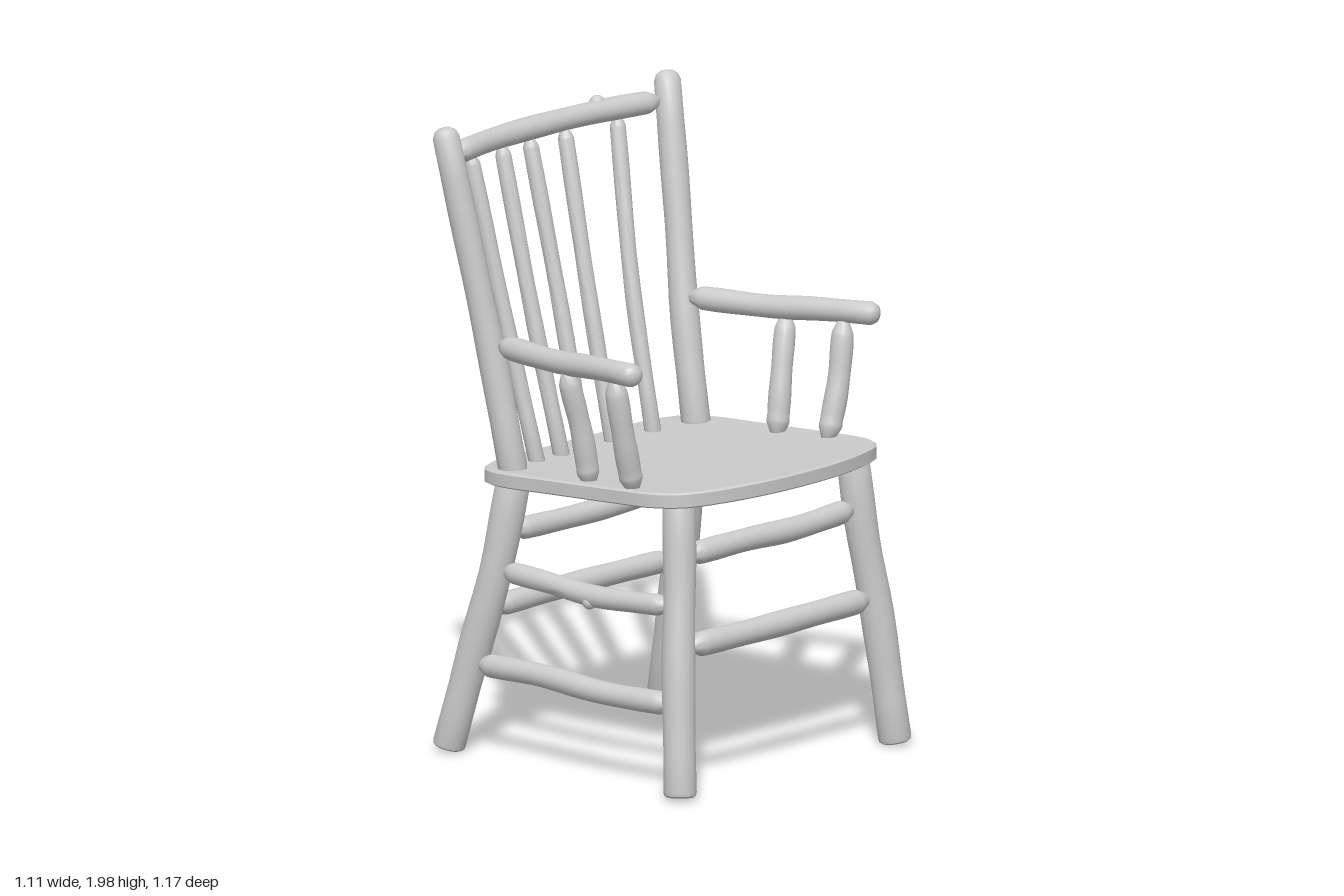
import * as THREE from 'three';
import { toCreasedNormals } from 'three/addons/utils/BufferGeometryUtils.js';

const material = new THREE.MeshStandardMaterial({ color: 0xcccccc });
const V = (p) => new THREE.Vector3(...p);

// End shapes as [radius factor, distance from the end in radii]
const ENDS = {
  sawn: [[0, 0], [0.8, 0], [0.95, 0.1], [1, 0.3]],
  round: [[0, 0], [0.45, 0.06], [0.8, 0.3], [1, 0.75]],
  point: [[0, 0], [0.5, 0], [0.6, 0.15], [0.97, 1.0], [1, 1.3]],
};

// A peeled log: a turned profile bent along a curve through the points
function log(name, points, r0, r1 = r0, startEnd = 'sawn', finishEnd = 'sawn') {
  const curve = new THREE.CatmullRomCurve3(points.map(V));
  const length = curve.getLength();
  const radius = (s) => r0 + (r1 - r0) * s;
  const profile = [];
  for (const [f, d] of ENDS[startEnd]) profile.push(new THREE.Vector2(f * r0, (d * r0) / length));
  for (let i = 1; i < 12; i++) {
    const s = 0.08 + (0.84 * i) / 12;
    profile.push(new THREE.Vector2(radius(s) * (1 + 0.03 * Math.sin(s * 14 + length * 9)), s));
  }
  for (const [f, d] of [...ENDS[finishEnd]].reverse()) profile.push(new THREE.Vector2(f * r1, 1 - (d * r1) / length));
  profile.sort((a, b) => a.y - b.y);

  const geometry = new THREE.LatheGeometry(profile, 18);
  const position = geometry.attributes.position;
  const chord = curve.getPoint(1).sub(curve.getPoint(0)).normalize();
  const turn = new THREE.Quaternion().setFromUnitVectors(V([0, 1, 0]), chord);
  const v = new THREE.Vector3();
  for (let i = 0; i < position.count; i++) {
    const s = THREE.MathUtils.clamp(position.getY(i), 0, 1);
    v.set(position.getX(i), 0, position.getZ(i)).applyQuaternion(turn).add(curve.getPointAt(s));
    position.setXYZ(i, v.x, v.y, v.z);
  }
  const mesh = new THREE.Mesh(toCreasedNormals(geometry, 0.7), material);
  mesh.name = name;
  return mesh;
}

// A small cut-off branch
function knot(name, at, r) {
  const mesh = new THREE.Mesh(new THREE.SphereGeometry(r, 12, 8), material);
  mesh.name = name;
  mesh.position.set(...at);
  return mesh;
}

// Seat plank: rings between the centre and a rounded outline, tilted up to the front
function seat() {
  const half = [[0.22, 0.5], [0.37, 0.493], [0.46, 0.445], [0.52, 0.3], [0.548, 0.13]];
  const back = [[-0.408, 0.14], [-0.405, 0.36], [-0.36, 0.46], [-0.28, 0.495], [-0.05, 0.5]];
  const flip = (list) => list.map(([x, z]) => [x, -z]).reverse();
  const ring = [...half, [0.553, 0], ...flip(half), ...flip(back), ...back];
  const outline = new THREE.CatmullRomCurve3(ring.map(([x, z]) => V([x, 0, z])), true);
  const profile = [[0, -0.05], [0.985, -0.05], [1, -0.045], [1, -0.006], [0.985, 0], [0.85, -0.002],
    [0.65, -0.008], [0.4, -0.011], [0, -0.012]].map((p) => new THREE.Vector2(...p));
  const segments = 80;
  const geometry = new THREE.LatheGeometry(profile, segments);
  const position = geometry.attributes.position;
  for (let i = 0; i < position.count; i++) {
    const edge = outline.getPointAt((Math.floor(i / profile.length) % segments) / segments);
    const f = profile[i % profile.length].x;
    const x = 0.07 + (edge.x - 0.07) * f;
    position.setXYZ(i, x, position.getY(i) + 0.935 + 0.056 * x, -0.01 + edge.z * f);
  }
  const mesh = new THREE.Mesh(toCreasedNormals(geometry, 0.6), material);
  mesh.name = 'seat';
  return mesh;
}

export function createModel() {
  const chair = new THREE.Group();
  chair.name = 'logArmchair';
  chair.add(seat());

  for (const side of [1, -1]) {
    const label = side > 0 ? 'Near' : 'Far';
    const shift = side > 0 ? 0 : 0.01;
    const z = (d) => side * (d + shift);

    // Legs, splayed outwards
    chair.add(log('frontLeg' + label,
      [[0.495, 0.01, z(0.49)], [0.45, 0.45, z(0.448)], [0.425, 0.68, z(0.415)], [0.403, 0.915, z(0.395)]], 0.052, 0.051));
    chair.add(log('backLeg' + label,
      [[-0.472, 0.012, z(0.49)], [-0.395, 0.33, z(0.455)], [-0.33, 0.58, z(0.43)], [-0.285, 0.895, z(0.39)]], 0.052, 0.054));

    // Back posts
    chair.add(log('backPost' + label,
      [[-0.268, 0.905, z(0.415)], [-0.335, 1.25, z(0.435)], [-0.39, 1.55, z(0.465)], [-0.475, 1.985, z(0.507)]],
      0.046, 0.042, 'sawn', 'round'));

    // Arm and its two uprights
    chair.add(log('arm' + label,
      [[-0.3, 1.305, z(0.43)], [-0.02, 1.31, z(0.485)], [0.15, 1.325, z(0.513)], [0.37, 1.338, z(0.55)]],
      0.037, 0.037, 'point', 'round'));
    chair.add(log('rearArmUpright' + label,
      [[0.06, 0.925, z(0.425)], [0.05, 1.1, z(0.455)], [0.03, 1.285, z(0.5)]], 0.036, 0.033, 'point', 'point'));
    chair.add(log('frontArmUpright' + label,
      [[0.256, 0.94, z(0.443)], [0.258, 1.12, z(0.49)], [0.25, 1.3, z(0.522)]], 0.037, 0.035, 'point', 'point'));
  }

  // Back spindles: [bottom z, middle z, top z, top x]
  const spindles = [[0.278, 0.315, 0.352, -0.505], [0.165, 0.19, 0.198, -0.515], [0.06, 0.062, 0.065, -0.52],
    [-0.07, -0.072, -0.095, -0.518], [-0.255, -0.27, -0.322, -0.505]];
  spindles.forEach(([a, b, c, x], i) => chair.add(log('spindle' + (i + 1),
    [[-0.293, 0.905, a], [-0.395, 1.36, b], [x, 1.865, c]], 0.026, 0.025, 'sawn', 'point')));

  // Bowed top rail
  chair.add(log('topRail',
    [[-0.468, 1.895, 0.455], [-0.508, 1.895, 0.25], [-0.522, 1.895, 0], [-0.51, 1.895, -0.25], [-0.472, 1.895, -0.465]],
    0.036, 0.036, 'point', 'point'));
  chair.add(knot('topRailKnot', [-0.522, 1.918, -0.25], 0.026));

  // Stretchers across the front and the back, and along one side only
  const stretchers = [
    ['frontUpperStretcher', [[0.418, 0.745, 0.36], [0.425, 0.75, 0.1], [0.425, 0.745, -0.1], [0.418, 0.757, -0.375]], 0.037],
    ['frontLowerStretcher', [[0.45, 0.465, 0.39], [0.455, 0.465, 0.1], [0.455, 0.468, -0.15], [0.45, 0.47, -0.41]], 0.039],
    ['backUpperStretcher', [[-0.312, 0.705, 0.36], [-0.315, 0.7, 0], [-0.312, 0.715, -0.37]], 0.035],
    ['backLowerStretcher', [[-0.365, 0.46, 0.39], [-0.37, 0.465, 0], [-0.365, 0.465, -0.4]], 0.036],
    ['sideUpperStretcher', [[-0.29, 0.59, 0.425], [-0.1, 0.585, 0.435], [0.08, 0.573, 0.435], [0.385, 0.588, 0.425]], 0.034],
    ['sideLowerStretcher', [[-0.365, 0.287, 0.455], [-0.1, 0.295, 0.465], [0.15, 0.283, 0.468], [0.425, 0.287, 0.455]], 0.037],
  ];
  for (const [name, points, r] of stretchers) chair.add(log(name, points, r, r, 'point', 'point'));
  chair.add(knot('sideStretcherKnot', [0.08, 0.555, 0.45], 0.022));

  return chair;
}
